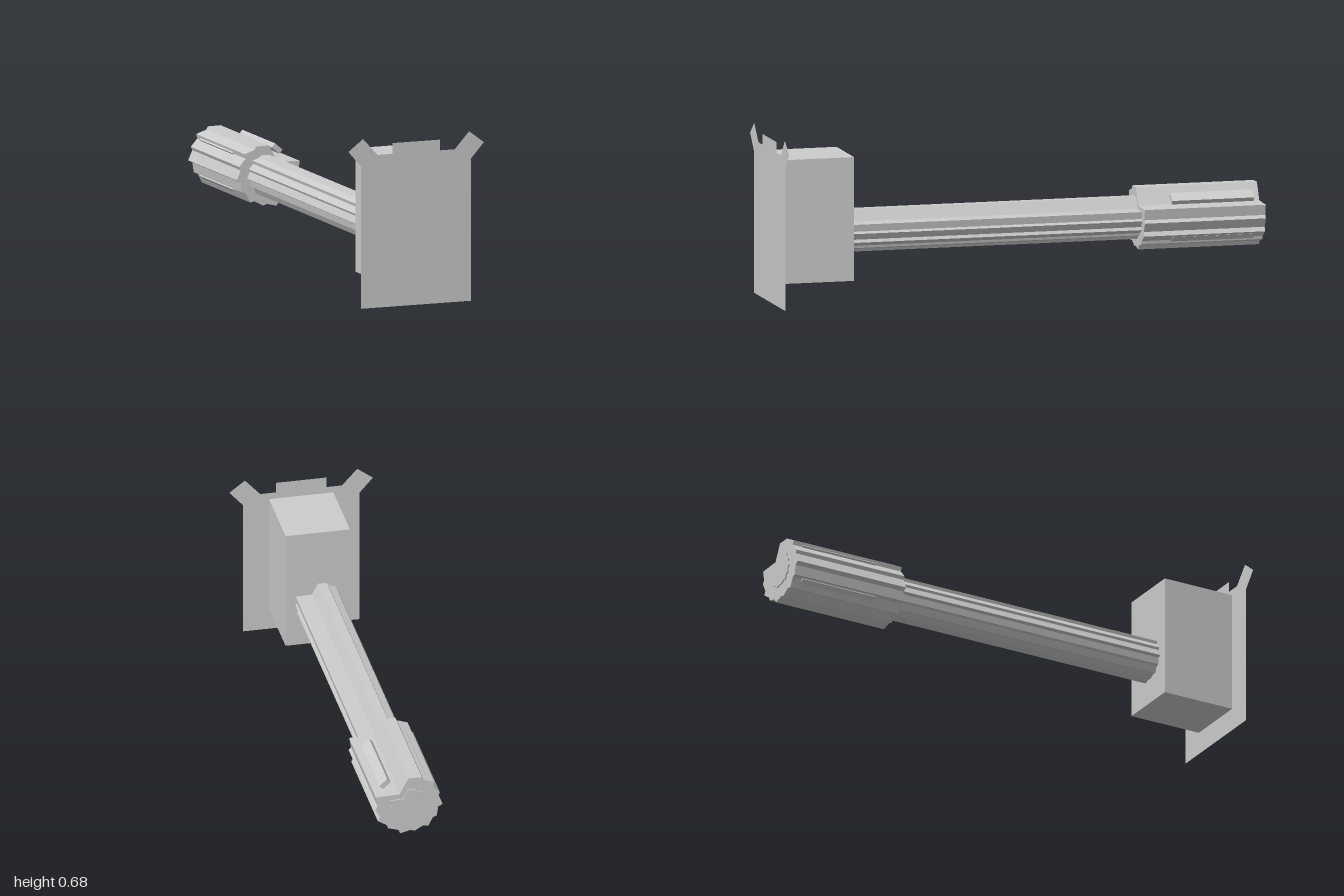
import * as THREE from 'three';

const CY = 0.277; // height of the shaft axis

export function createModel() {
  const model = new THREE.Group();
  const grey = new THREE.MeshStandardMaterial({ color: 0xcccccc });
  grey.name = 'light grey';
  grey.flatShading = true;
  const plateGrey = grey;
  plateGrey.side = THREE.DoubleSide;

  const add = (name, geometry, x, y, z) => {
    const mesh = new THREE.Mesh(geometry, grey);
    mesh.name = name;
    mesh.position.set(x, y, z);
    model.add(mesh);
    return mesh;
  };

  // Fluted section with a stepped cut in its upper left quarter
  const section = (scale) => {
    const pts = [];
    const steps = 12;
    for (let i = 0; i <= steps; i++) {
      const a = THREE.MathUtils.degToRad(90 + (290 * i) / steps);
      const r = (i % 2 ? 0.134 : 0.14) * (i === 0 ? 0.88 : 1);
      // sawtooth: a ridge followed by a short inward step
      pts.push(new THREE.Vector2(Math.cos(a) * r, Math.sin(a) * r * 0.94));
      if (i > 0 && i < steps) {
        const b = a + 0.1;
        pts.push(new THREE.Vector2(Math.cos(b) * 0.124, Math.sin(b) * 0.118));
      }
    }
    pts.push(new THREE.Vector2(0.035, 0.048));
    return new THREE.Shape(pts.map((p) => p.multiplyScalar(scale)));
  };
  const fluted = (name, scale, z0, z1) =>
    add(name, new THREE.ExtrudeGeometry(section(scale), { depth: z1 - z0, bevelEnabled: false }), 0, CY, z0);

  fluted('shaft', 0.68, -0.6, 0.7);
  fluted('gripSleeve', 1, -0.995, -0.5);
  fluted('endCap', 0.56, -1, -0.9);

  // Four raised bars around the sleeve
  for (const sx of [1, -1]) {
    for (const sy of [1, -1]) {
      const bar = add('gripBar', new THREE.BoxGeometry(0.021, 0.042, 0.335), sx * 0.085, CY + sy * 0.078, -0.787);
      bar.rotation.z = sx * sy * THREE.MathUtils.degToRad(50);
    }
  }

  // Head block
  add('headBlock', new THREE.BoxGeometry(0.26, 0.495, 0.308), 0, 0.3385, 0.844);

  // Flat face plate with two slanted ears and a top tab
  const half = [[0.235, 0], [0.235, 0.57], [0.29, 0.632], [0.227, 0.68], [0.165, 0.612], [0.102, 0.612], [0.102, 0.655]];
  const outline = [...half, ...half.map(([x, y]) => [-x, y]).reverse()];
  const plate = new THREE.Shape(outline.map(([x, y]) => new THREE.Vector2(x, y)));
  add('facePlate', new THREE.ShapeGeometry(plate), 0, 0, 1);

  return model;
}
